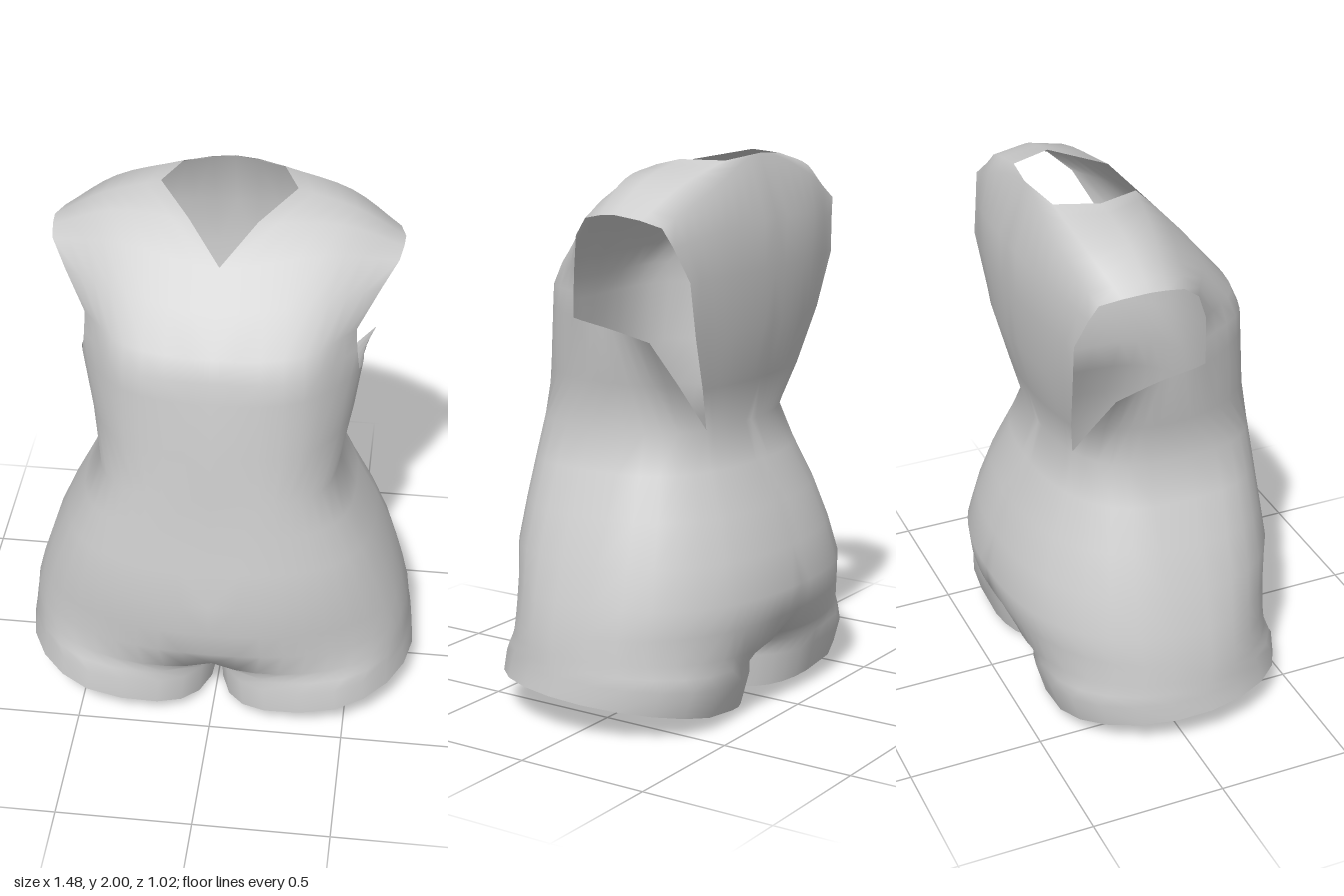
import * as THREE from 'three';
import { mergeVertices } from 'three/addons/utils/BufferGeometryUtils.js';

const SIDE = 16, BACK = 8, COLS = SIDE + BACK, SEAM = 0.78;
const pw = (v, p) => Math.sign(v) * Math.abs(v) ** p;
const mix = THREE.MathUtils.lerp;

// Half section from front centre round the side to back centre.
// leg = 0 is an open half oval, leg = 1 a closed leg ring; tilt drops the inner side.
function section([y, w, zf, zb, leg = 0, tilt = 0, gap = 0]) {
  const zm = 0.05, row = [];
  // the oval grows boxier from the hips to the waist
  const rise = THREE.MathUtils.clamp((y - 0.5) / 0.5, 0, 1);
  const pFront = 0.85 - 0.25 * rise, pBack = 0.87 - 0.15 * rise;
  for (let j = 0; j <= COLS; j++) {
    const s = j <= SIDE ? SEAM * j / SIDE : SEAM + (1 - SEAM) * (j - SIDE) / BACK;
    const b = 2 * Math.PI * s;
    const a = b / 2 - 0.05 * Math.PI * Math.sin(b);
    const c = Math.cos(a);
    const ox = w * Math.abs(Math.sin(a)) ** (c > 0 ? pFront : 0.87);
    const oz = c > 0 ? zm + (zf - zm) * c ** pFront : zm - (zm - zb) * (-c) ** pBack;
    // the leg ring is boxier on its inner side
    const p = Math.cos(b) > 0 ? 0.7 : 1;
    const rx = (w + gap) / 2 - (w - gap) / 2 * pw(Math.cos(b), p);
    const rz = (zf + zb) / 2 + (zf - zb) / 2 * pw(Math.sin(b), p);
    row.push(new THREE.Vector3(
      mix(ox, rx, leg),
      y - tilt * (1 + Math.cos(b)) / 2 + 0.19 * tilt * Math.sin(b),
      mix(oz, rz, leg)));
  }
  return row;
}

// Smooth line from the centre outward; mirrored through x = 0 when it starts there
function line(n, ...pts) {
  const v = pts.map(p => new THREE.Vector3(...p));
  const centred = v[0].x === 0;
  const full = centred
    ? [...v.slice(1).reverse().map(p => new THREE.Vector3(-p.x, p.y, p.z)), ...v] : v;
  const curve = new THREE.CatmullRomCurve3(full);
  return Array.from({ length: n + 1 }, (_, i) => curve.getPoint(centred ? 0.5 + 0.5 * i / n : i / n));
}

// Triangles between neighbouring rows, with their mirror image
function skin(rows, out) {
  const tri = (a, b, c) => {
    for (const p of [a, b, c]) out.push(p.x, p.y, p.z);
    for (const p of [a, c, b]) out.push(-p.x, p.y, p.z);
  };
  for (let i = 0; i + 1 < rows.length; i++) {
    for (let j = 0; j + 1 < rows[i].length; j++) {
      const a = rows[i][j], b = rows[i][j + 1], c = rows[i + 1][j], d = rows[i + 1][j + 1];
      tri(a, b, d);
      tri(a, d, c);
    }
  }
}

export function createModel() {
  const group = new THREE.Group();
  group.name = 'bodySuit';
  const cloth = new THREE.MeshStandardMaterial({ color: 0xcccccc, side: THREE.DoubleSide });
  cloth.name = 'light grey cloth';
  const out = [];

  // Legs, hips and waist: y, half width, front z, back z, leg blend, tilt, leg gap
  const hips = [
    [0.13, 0.742, 0.48, -0.388, 1, 0.13, 0.01],
    [0.2, 0.733, 0.475, -0.42, 1, 0.07],
    [0.24, 0.727, 0.49, -0.45, 0.55, 0.05],
    [0.28, 0.72, 0.495, -0.475, 0.15, 0.03],
    [0.36, 0.71, 0.497, -0.495],
    [0.46, 0.685, 0.502, -0.51],
    [0.6, 0.64, 0.513, -0.47],
    [0.75, 0.575, 0.487, -0.415],
    [0.9, 0.5, 0.465, -0.34],
    [1.04, 0.435, 0.447, -0.29],
  ].map(section);
  skin(hips, out);
  const waist = hips[hips.length - 1];

  // Front and side panel up to the bottom of the armhole
  const armRow = line(SIDE, [0, 1.43, 0.405], [0.315, 1.44, 0.36], [0.49, 1.44, 0.14],
    [0.5, 1.415, -0.03], [0.53, 1.39, -0.21]);
  skin([
    waist.slice(0, SIDE + 1),
    line(SIDE, [0, 1.22, 0.432], [0.31, 1.22, 0.375], [0.455, 1.22, 0.16],
      [0.465, 1.22, -0.08], [0.4, 1.22, -0.245]),
    armRow,
  ], out);

  // Chest, over the shoulder and down the back to the waist
  skin([
    armRow.slice(0, BACK + 1),
    line(BACK, [0, 1.51, 0.39], [0.315, 1.52, 0.355], [0.48, 1.53, 0.145]),
    line(BACK, [0, 1.59, 0.365], [0.31, 1.6, 0.32], [0.475, 1.61, 0.145]),
    line(BACK, [0, 1.71, 0.265], [0.32, 1.74, 0.2], [0.55, 1.74, 0.08]),
    line(BACK, [0, 1.83, 0.155], [0.35, 1.86, 0.08], [0.605, 1.81, 0]),
    line(BACK, [0.12, 1.95, 0.04], [0.4, 1.925, -0.02], [0.617, 1.825, -0.07]),
    line(BACK, [0.24, 1.987, -0.14], [0.45, 1.928, -0.13], [0.62, 1.83, -0.13]),
    line(BACK, [0.18, 1.985, -0.29], [0.42, 1.92, -0.27], [0.6, 1.815, -0.22]),
    line(BACK, [0, 2, -0.32], [0.32, 1.9, -0.335], [0.57, 1.79, -0.29]),
    line(BACK, [0, 1.78, -0.39], [0.3, 1.76, -0.37], [0.53, 1.72, -0.31]),
    line(BACK, [0, 1.6, -0.39], [0.27, 1.6, -0.375], [0.475, 1.6, -0.34]),
    line(BACK, [0, 1.4, -0.38], [0.23, 1.4, -0.365], [0.41, 1.4, -0.32]),
    line(BACK, [0, 1.2, -0.33], [0.17, 1.2, -0.32], [0.32, 1.2, -0.29]),
    waist.slice(SIDE).reverse(),
  ], out);

  // Weld the panels so the shading runs smoothly across the seams
  let geometry = new THREE.BufferGeometry();
  geometry.setAttribute('position', new THREE.Float32BufferAttribute(out, 3));
  geometry = mergeVertices(geometry, 1e-4);
  geometry.computeVertexNormals();
  const shell = new THREE.Mesh(geometry, cloth);
  shell.name = 'torsoShell';
  group.add(shell);
  return group;
}
